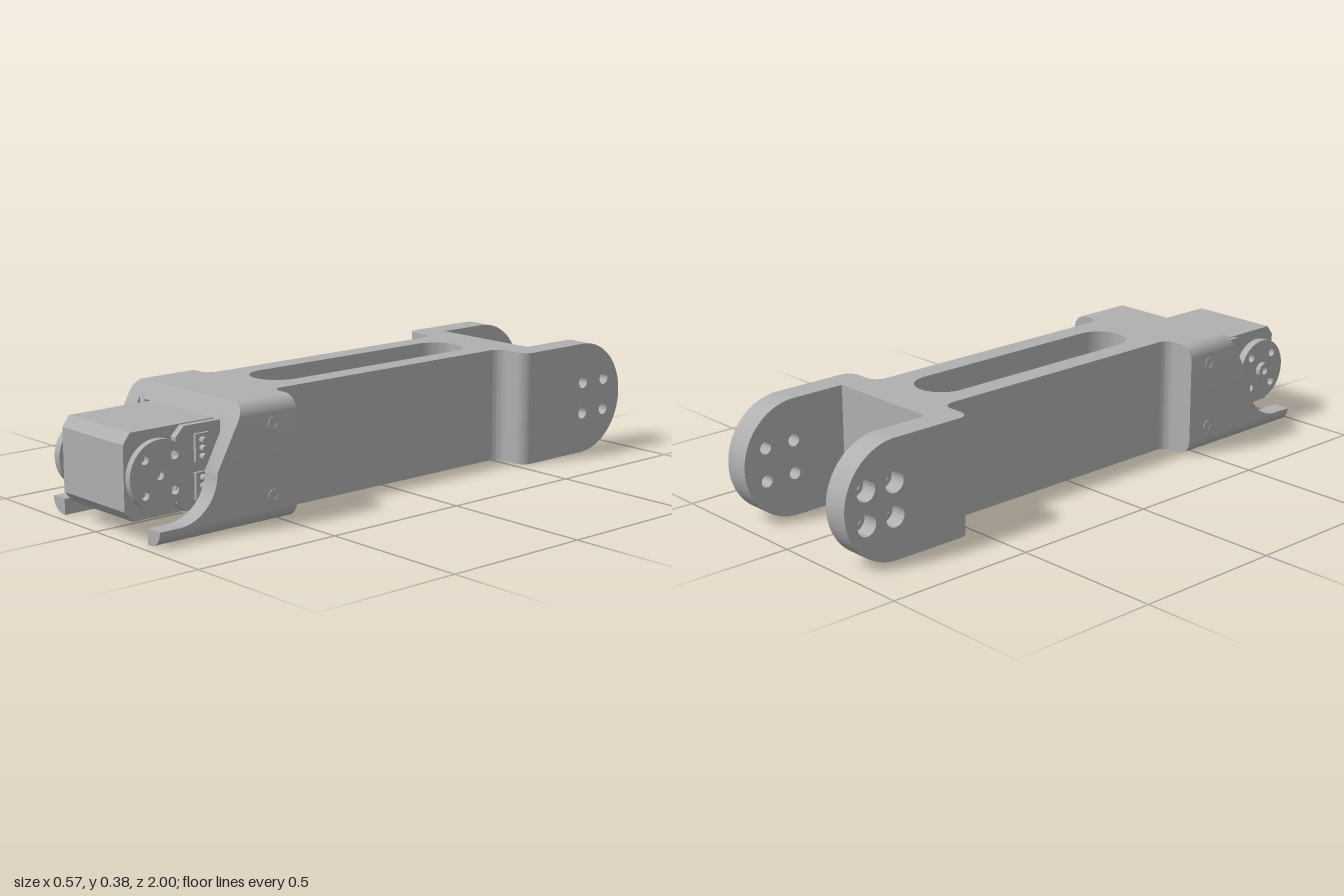
import * as THREE from 'three';
import { toCreasedNormals } from 'three/addons/utils/BufferGeometryUtils.js';

const H = 0.38;                    // link height
const AXIS = { z: 0.895, y: 0.19 }; // servo output axis

export function createModel() {
  const model = new THREE.Group();
  const grey = new THREE.MeshStandardMaterial({ color: 0xb0b0b0 });
  grey.name = 'grey';

  const add = (name, geometry, parent = model) => {
    const mesh = new THREE.Mesh(toCreasedNormals(geometry, 0.5), grey);
    mesh.name = name;
    parent.add(mesh);
    return mesh;
  };
  const box = (name, x0, x1, y0, y1, z0, z1) =>
    add(name, new THREE.BoxGeometry(x1 - x0, y1 - y0, z1 - z0)
      .translate((x0 + x1) / 2, (y0 + y1) / 2, (z0 + z1) / 2));
  // Extrude a (z, y) profile across x
  const extrudeX = (name, shape, x0, x1) =>
    add(name, new THREE.ExtrudeGeometry(shape, { depth: x1 - x0, bevelEnabled: false, curveSegments: 20 })
      .rotateY(-Math.PI / 2).translate(x1, 0, 0));
  // Extrude an (x, z) plan up y
  const extrudeY = (name, shape, y0, y1) =>
    add(name, new THREE.ExtrudeGeometry(shape, { depth: y1 - y0, bevelEnabled: false, curveSegments: 16 })
      .rotateX(Math.PI / 2).translate(0, y1, 0));
  const rodX = (name, r, x0, x1, y, z) =>
    add(name, new THREE.CylinderGeometry(r, r, x1 - x0, 24).rotateZ(Math.PI / 2)
      .translate((x0 + x1) / 2, y, z));
  const polygon = (pts) => new THREE.Shape(pts.map(([a, b]) => new THREE.Vector2(a, b)));
  const circle = (a, b, r) => new THREE.Path().absarc(a, b, r, 0, Math.PI * 2, true);

  // Beam plan with rounded shoulders towards the fork and the servo block
  const beamPlan = (holes) => {
    const half = new THREE.Path();
    half.moveTo(0.285, -0.625);
    half.lineTo(0.285, -0.565);
    half.absarc(0.245, -0.565, 0.04, 0, Math.PI / 2, false);
    half.lineTo(0.2, -0.525);
    half.absarc(0.2, -0.485, 0.04, -Math.PI / 2, -Math.PI, true);
    half.lineTo(0.16, 0.42);
    half.absarc(0.195, 0.42, 0.035, Math.PI, Math.PI / 2, true);
    const pts = half.getPoints(10);
    const shape = new THREE.Shape([...pts, ...pts.map((p) => new THREE.Vector2(-p.x, p.y)).reverse()]);
    shape.holes.push(...holes);
    return shape;
  };
  const slot = (r, z0, z1) => {
    const p = new THREE.Path();
    p.absarc(0, z1 - r, r, 0, Math.PI, false);
    p.absarc(0, z0 + r, r, Math.PI, Math.PI * 2, false);
    p.closePath();
    return p;
  };
  const pocket = () => [slot(0.088, -0.475, 0.39)];
  extrudeY('beamLower', beamPlan(pocket()), 0, 0.15);
  extrudeY('beamWeb', beamPlan([slot(0.045, -0.435, -0.08), slot(0.045, 0, 0.35)]), 0.15, 0.23);
  extrudeY('beamUpper', beamPlan(pocket()), 0.23, H);

  // Fork arms with four bolt holes; the right arm is counterbored from outside
  const forkProfile = (r) => {
    const s = new THREE.Shape();
    s.moveTo(-0.625, 0);
    s.lineTo(-0.625, H);
    s.lineTo(-0.81, H);
    s.absarc(-0.81, H / 2, H / 2, Math.PI / 2, Math.PI * 1.5, false);
    for (const z of [-0.92, -0.815]) for (const y of [0.138, 0.245]) s.holes.push(circle(z, y, r));
    return s;
  };
  extrudeX('forkArmLeft', forkProfile(0.02), 0.2, 0.285);
  extrudeX('forkArmRightInner', forkProfile(0.02), -0.23, -0.2);
  extrudeX('forkArmRightOuter', forkProfile(0.034), -0.285, -0.23);

  // Servo block: front edge slopes down, then curves around the output horn
  const frontEdge = (y) => (y >= AXIS.y ? 0.65 + (H - y) * 0.55
    : AXIS.z - Math.sqrt(Math.max(0, 0.14 ** 2 - (AXIS.y - y) ** 2)));
  const outerX = (y) => {
    const r = 0.05, d = Math.max(0, r - Math.min(y, H - y));
    return 0.275 - r + Math.sqrt(Math.max(0, r * r - d * d));
  };
  const sideWall = (side) => {
    const levels = [];
    for (let i = 0; i <= 8; i++) levels.push([0.05 * (1 - Math.cos(i * Math.PI / 16)) , 0.965]);
    for (let i = 0; i <= 16; i++) {
      const y = AXIS.y - 0.14 * Math.cos(i * Math.PI / 32);
      levels.push([y, frontEdge(y)]);
    }
    for (let i = 0; i <= 8; i++) {
      const y = 0.33 + 0.05 * Math.sin(i * Math.PI / 16);
      levels.push([y, frontEdge(y)]);
    }
    const pos = [], index = [], n = 6;
    for (const [y, f] of levels) {
      const xo = outerX(y), m = Math.min(f, 0.68);
      for (const [x, z] of [[0.19, 0.455], [xo, 0.455], [xo, f], [0.215, f], [0.215, m], [0.19, m]])
        pos.push(side * x, y, z);
    }
    const tri = (a, b, c) => (side > 0 ? index.push(a, b, c) : index.push(a, c, b));
    for (let j = 0; j < levels.length - 1; j++) for (let i = 0; i < n; i++) {
      const a = j * n + i, b = j * n + (i + 1) % n;
      tri(a, b + n, b);
      tri(a, a + n, b + n);
    }
    const top = (levels.length - 1) * n;
    for (const [p, q] of [[2, 3], [3, 4], [4, 5], [5, 0]]) {
      tri(1, p, q);
      tri(top + 1, top + q, top + p);
    }
    const g = new THREE.BufferGeometry();
    g.setAttribute('position', new THREE.Float32BufferAttribute(pos, 3));
    g.setIndex(index);
    return g;
  };
  add('blockWallLeft', sideWall(1));
  add('blockWallRight', sideWall(-1));
  extrudeX('blockRoof', polygon([[0.455, 0.325], [0.68, 0.325], [0.65, H], [0.455, H]]), -0.19, 0.19);
  box('blockFloor', -0.19, 0.19, 0, 0.055, 0.455, 0.68);
  box('blockBackWall', -0.19, 0.19, 0.055, 0.325, 0.455, 0.58);

  // Screw rims on the block sides
  for (const side of [-1, 1]) for (const y of [0.085, 0.305]) {
    const rim = new THREE.Shape().absarc(0.545, y, 0.021, 0, Math.PI * 2);
    rim.holes.push(circle(0.545, y, 0.012));
    extrudeX('screwRim', rim, side * 0.2755 - 0.002, side * 0.2755 + 0.002);
  }

  // Servo case with chamfered front edges
  extrudeX('servoCase', polygon([[0.58, 0.057], [0.972, 0.057], [1, 0.09], [1, 0.29],
    [0.975, 0.323], [0.58, 0.323]]), -0.16, 0.152);
  for (const side of [-1, 1]) {
    const x0 = side > 0 ? 0.15 : -0.175;
    extrudeX('servoSideCover', polygon([[0.58, 0.062], [0.8, 0.062], [0.83, 0.09], [0.83, 0.29],
      [0.8, 0.32], [0.58, 0.32]]), x0, x0 + 0.025);
  }
  rodX('hornBoss', 0.05, 0.15, 0.166, AXIS.y, AXIS.z);
  rodX('idlerBoss', 0.048, -0.18, -0.155, AXIS.y, AXIS.z);

  // Output horn and idler disc
  for (const [name, x0, x1] of [['outputHorn', 0.163, 0.185], ['idlerDisc', -0.205, -0.178]]) {
    const disc = new THREE.Shape().absarc(AXIS.z, AXIS.y, 0.107, 0, Math.PI * 2);
    for (const dz of [-0.053, 0.053]) for (const dy of [-0.053, 0.053])
      disc.holes.push(circle(AXIS.z + dz, AXIS.y + dy, 0.014));
    if (x0 > 0) disc.holes.push(circle(AXIS.z, AXIS.y, 0.014));
    extrudeX(name, disc, x0, x1);
  }
  const hub = new THREE.Shape().absarc(AXIS.z, AXIS.y, 0.028, 0, Math.PI * 2);
  hub.holes.push(circle(AXIS.z, AXIS.y, 0.013));
  extrudeX('idlerHub', hub, -0.222, -0.205);

  // Connector sockets and pins on the left of the servo
  for (const y of [0.13, 0.247]) box('connectorSocket', 0.17, 0.185, y - 0.04, y + 0.045, 0.715, 0.765);
  for (const y of [0.108, 0.133, 0.158, 0.222, 0.247, 0.272])
    rodX('connectorPin', 0.01, 0.165, 0.203, y, 0.742);

  return model;
}
